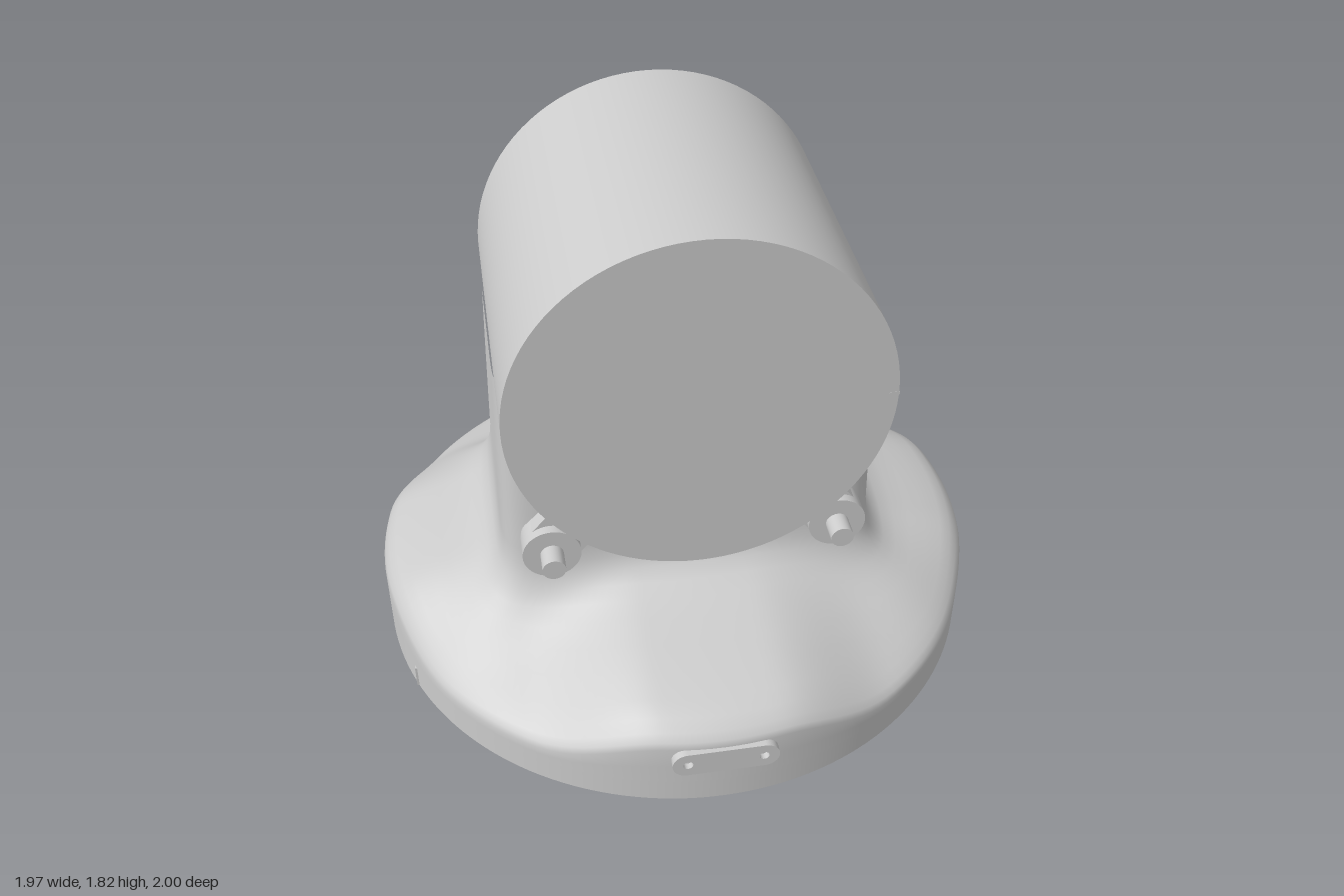
import * as THREE from 'three';

const mat = new THREE.MeshStandardMaterial({ color: 0xcccccc });
const CY = 1.25; // height of the barrel axis

function add(parent, name, geo, x = 0, y = 0, z = 0) {
  const m = new THREE.Mesh(geo, mat);
  m.name = name;
  m.position.set(x, y, z);
  parent.add(m);
  return m;
}

// Cylinder lying along z between z0 and z1
function zCylinder(r, z0, z1, seg = 96) {
  const g = new THREE.CylinderGeometry(r, r, z1 - z0, seg);
  g.rotateX(Math.PI / 2);
  g.translate(0, 0, (z0 + z1) / 2);
  return g;
}

// Cast housing: round foot with four humps, blending into a rounded rectangular pedestal
function housingGeometry() {
  const N = 160, R = 0.985;
  // [fraction from rim to pedestal, height on a hump, height in a valley]
  const foot = [
    [0, 0.2, 0.2], [0, 0.27, 0.225], [0, 0.345, 0.25], [0.015, 0.365, 0.268], [0.05, 0.385, 0.282],
    [0.11, 0.41, 0.3], [0.2, 0.427, 0.322], [0.35, 0.45, 0.355], [0.5, 0.468, 0.385], [0.65, 0.487, 0.415],
    [0.78, 0.508, 0.447], [0.87, 0.532, 0.482], [0.94, 0.565, 0.525], [0.98, 0.605, 0.575], [1, 0.66, 0.64],
  ];
  const pedestal = [[0.8, 0.587, 0.385], [1.0, 0.582, 0.378], [1.25, 0.575, 0.37]];
  const block = (s, c, a, b) => (Math.abs(s / a) ** 9 + Math.abs(c / b) ** 9) ** (-1 / 9);
  const hump = (u) => 1 - THREE.MathUtils.smoothstep(Math.abs(u), 0.18, 0.57);
  const pos = [], idx = [];
  const rows = foot.length + pedestal.length;
  for (let i = 0; i < rows; i++) {
    for (let j = 0; j < N; j++) {
      const s = Math.sin((j / N) * 2 * Math.PI), c = Math.cos((j / N) * 2 * Math.PI);
      let r, y;
      if (i < foot.length) {
        const [t, high, low] = foot[i];
        r = THREE.MathUtils.lerp(R, block(s, c, 0.59, 0.39), t);
        const w = 1 - (1 - hump(r * s)) * (1 - hump(r * c));
        y = THREE.MathUtils.lerp(low, high, w);
      } else {
        const [h, a, b] = pedestal[i - foot.length];
        r = block(s, c, a, b);
        y = h;
      }
      pos.push(r * s, y, r * c);
      if (i < rows - 1) {
        const k = (j + 1) % N, a = i * N + j, b = i * N + k;
        idx.push(a, b, a + N, b, b + N, a + N);
      }
    }
  }
  const g = new THREE.BufferGeometry();
  g.setAttribute('position', new THREE.Float32BufferAttribute(pos, 3));
  g.setIndex(idx);
  g.computeVertexNormals();
  return g;
}

// Straight-sided slot outline with round ends
function slotShape(halfLength, r) {
  const s = new THREE.Shape();
  s.absarc(halfLength - r, 0, r, -Math.PI / 2, Math.PI / 2, false);
  s.absarc(r - halfLength, 0, r, Math.PI / 2, Math.PI * 1.5, false);
  s.closePath();
  return s;
}

export function createModel() {
  const model = new THREE.Group();
  model.name = 'housedBarrel';

  // Foot and pedestal
  add(model, 'footRim', new THREE.CylinderGeometry(0.985, 0.985, 0.08, 160), 0, 0.16, 0);
  add(model, 'housing', housingGeometry());
  add(model, 'bottomPlate', new THREE.CylinderGeometry(0.83, 0.83, 0.03, 128), 0, 0.12, 0);
  add(model, 'locatingBlock', new THREE.BoxGeometry(0.083, 0.13, 0.25), 0.8125, 0.065, 0.4).rotation.y = -0.446;
  add(model, 'rimMark', new THREE.BoxGeometry(0.008, 0.08, 0.02), -0.905, 0.16, 0.385);

  // Barrel with stepped rear cover
  add(model, 'barrel', zCylinder(0.57, -0.475, 0.535), 0, CY, 0);
  add(model, 'rearCover', zCylinder(0.51, -0.545, -0.47), 0, CY - 0.005, 0);
  add(model, 'barrelMark', new THREE.BoxGeometry(0.03, 0.012, 0.055), 0.557, CY, 0.508);

  // Clamp bolts on lugs that run up to the barrel
  for (const side of [-1, 1]) {
    const clamp = new THREE.Group();
    clamp.name = side > 0 ? 'leftClamp' : 'rightClamp';
    clamp.position.set(side * 0.445, 0.7, 0);
    const lugShape = new THREE.Shape();
    lugShape.absarc(0, 0, 0.088, Math.PI / 2, Math.PI * 1.5, false);
    lugShape.lineTo(0.15, -0.088);
    lugShape.lineTo(0.15, 0.088);
    lugShape.closePath();
    const lug = new THREE.ExtrudeGeometry(lugShape, { depth: 0.07, bevelEnabled: false, curveSegments: 24 });
    add(clamp, 'lug', lug, 0, 0, 0.36).rotation.z = side > 0 ? Math.PI - 0.87 : 0.87;
    add(clamp, 'washer', zCylinder(0.09, 0.38, 0.46, 40));
    add(clamp, 'bolt', zCylinder(0.036, 0.45, 0.53, 28));
    model.add(clamp);
  }

  // Slotted plates on the front and back of the rim
  for (const side of [1, -1]) {
    const tag = new THREE.Group();
    tag.name = side > 0 ? 'frontPlate' : 'backPlate';
    const shape = slotShape(0.162, 0.045);
    for (const x of [-0.115, 0.115]) {
      const hole = new THREE.Path();
      hole.absarc(x, 0, 0.015, 0, Math.PI * 2, true);
      shape.holes.push(hole);
    }
    const plate = new THREE.ExtrudeGeometry(shape, { depth: 0.04, bevelEnabled: false, curveSegments: 16 });
    add(tag, 'plate', plate, 0, 0.3, 0.958);
    tag.rotation.y = side > 0 ? 0 : Math.PI;
    model.add(tag);
  }
  return model;
}
